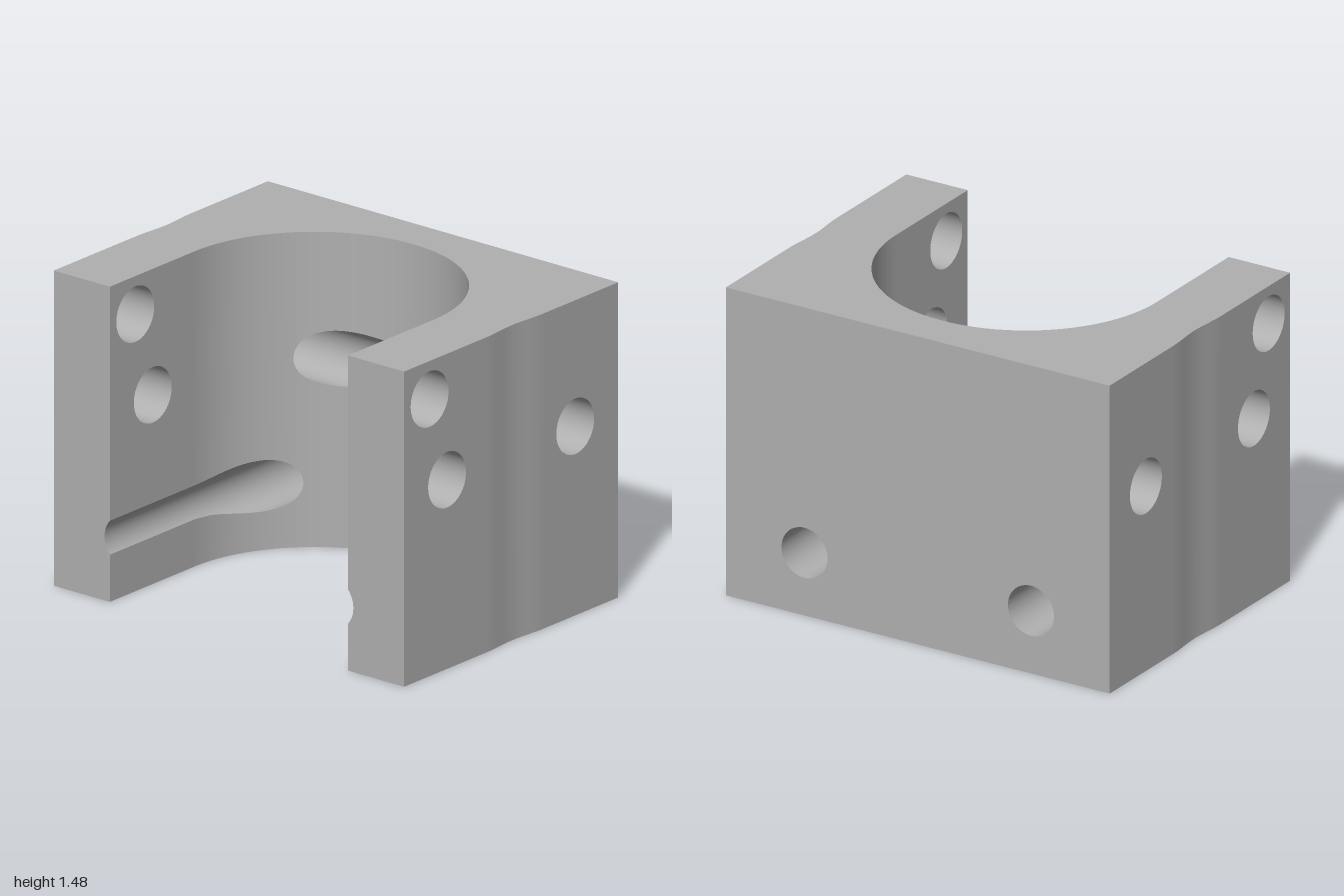
import * as THREE from 'three';
import { mergeGeometries } from 'three/addons/utils/BufferGeometryUtils.js';

const X = 0.735, H = 1.475, Z = 1;          // block half width, height, half depth
const R = 0.68, CX = -0.15;                 // U-shaped bore: radius and axis position
const BOLT = 0.13, PIN = 0.12;              // radii of cross holes and lengthwise holes
const PIN_Z = 0.59, PIN_Y = 0.3;
const bolts = [[-0.56, 1.297], [-0.44, 0.885], [0.44, 0.885]];
const DIP = [-0.17, 0.22];                  // shallow hollow in the outer sides
const N = 64;

const lin = (a, b, n) => Array.from({ length: n + 1 }, (_, i) => a + (b - a) * i / n);
const outerZ = x => Z - 0.006 * (1 - Math.cos(2 * Math.PI * (x - DIP[0]) / (DIP[1] - DIP[0])));
const root = v => Math.sqrt(Math.max(0, v));

function flip(g) {
  const a = g.index.array;
  for (let i = 0; i < a.length; i += 3) [a[i], a[i + 1]] = [a[i + 1], a[i]];
  return g;
}

// Surface spanned by two lists of parameters
function grid(us, vs, f) {
  const pos = [], idx = [], m = vs.length;
  us.forEach((u, i) => vs.forEach((v, j) => {
    pos.push(...f(u, v));
    if (i && j) {
      const d = i * m + j, c = d - 1, b = d - m, a = b - 1;
      idx.push(a, c, b, c, d, b);
    }
  }));
  const g = new THREE.BufferGeometry();
  g.setAttribute('position', new THREE.Float32BufferAttribute(pos, 3));
  g.setIndex(idx);
  return g;
}

// Flat face from a 2D outline with round holes, placed in space by a mapping
function face(points, holes, map) {
  const s = new THREE.Shape(points.map(p => new THREE.Vector2(...p)));
  for (const [x, y, r] of holes) s.holes.push(new THREE.Path().absarc(x, y, r, 0, Math.PI * 2, true));
  const g = new THREE.ShapeGeometry(s, N);
  const p = g.attributes.position;
  for (let i = 0; i < p.count; i++) p.setXYZ(i, ...map(p.getX(i), p.getY(i)));
  g.deleteAttribute('uv');
  g.deleteAttribute('normal');
  return g;
}
const rect = (a, b, c, d) => [[a, b], [c, b], [c, d], [a, d]];

export function createModel() {
  const group = new THREE.Group();
  const metal = new THREE.MeshStandardMaterial({ color: 0xb0b0b0, side: THREE.DoubleSide });
  metal.name = 'grey metal';

  // Adds a part made of front-half pieces together with their mirror images
  function add(name, ...pieces) {
    const all = pieces.flatMap(g => [g, flip(g.clone().scale(1, 1, -1))]);
    all.forEach(g => g.computeVertexNormals());
    const mesh = new THREE.Mesh(mergeGeometries(all), metal);
    mesh.name = name;
    group.add(mesh);
  }

  const leftHoles = bolts.slice(0, 2).map(b => [...b, BOLT]);
  const rightHoles = [[...bolts[2], BOLT]];

  // Outer sides: two flat panels with a shallow hollow between
  const onSide = (x, y) => [x, y, Z];
  add('outerSides',
    face(rect(-X, 0, DIP[0], H), leftHoles, onSide),
    face(rect(DIP[1], 0, X, H), rightHoles, onSide),
    grid(lin(...DIP, 24), [0, H], (x, y) => [x, y, outerZ(x)]));

  // Top and bottom
  const plan = [[-X, R],
    ...lin(Math.PI / 2, 0, 48).map(t => [CX + R * Math.cos(t), R * Math.sin(t)]),
    [X, 0], [X, Z], ...lin(DIP[1], DIP[0], 24).map(x => [x, outerZ(x)]), [-X, Z]];
  add('topFace', flip(face(plan, [], (x, z) => [x, H, z])));
  add('bottomFace', face(plan, [], (x, z) => [x, 0, z]));

  // Closed back plate with its lengthwise holes
  add('closedEnd', flip(face(rect(0, 0, Z, H), [[PIN_Z, PIN_Y, PIN]], (z, y) => [X, y, z])));

  // Open ends of the arms, notched by the grooves
  const a = Math.acos((R - PIN_Z) / PIN), gap = PIN * Math.sin(a);
  const notch = lin(a, -a, 20).map(t => [PIN_Z + PIN * Math.cos(t), PIN_Y + PIN * Math.sin(t)]);
  add('armEnds', face([[R, 0], [Z, 0], [Z, H], [R, H], ...notch], [], (z, y) => [-X, y, z]));

  // Straight inner walls, above and below the groove
  const onInner = (x, y) => [x, y, R];
  add('innerWalls',
    flip(face(rect(-X, 0, CX, PIN_Y - gap), [], onInner)),
    flip(face(rect(-X, PIN_Y + gap, CX, H), leftHoles, onInner)));

  // Curved inner wall: three bands running around the hole openings
  const end = CX + R, [bx, by] = bolts[2];
  const k = Math.acos((end - bx) / BOLT);
  const boltAngles = [...lin(-k, k, 24), ...lin(k, 2 * Math.PI - k, N)];
  const pinAngles = lin(a, 2 * Math.PI - a, N);
  const thetas = [...lin(0, Math.PI / 2, 48),
    ...lin(k, Math.PI, N / 2).map(t => Math.acos(Math.min(1, (bx + BOLT * Math.cos(t) - CX) / R))),
    ...lin(a, Math.PI, N / 2).map(t => Math.asin(Math.min(1, (PIN_Z + PIN * Math.cos(t)) / R)))
  ].sort((p, q) => p - q).filter((t, i, l) => !i || t - l[i - 1] > 1e-6);
  const pinH = t => root(PIN ** 2 - (R * Math.sin(t) - PIN_Z) ** 2);
  const boltH = t => root(BOLT ** 2 - (CX + R * Math.cos(t) - bx) ** 2);
  const band = (lo, hi) => flip(grid(thetas, [0, 1], (t, v) =>
    [CX + R * Math.cos(t), lo(t) * (1 - v) + hi(t) * v, R * Math.sin(t)]));
  add('curvedWall',
    flip(band(() => 0, t => PIN_Y - pinH(t))),
    flip(band(t => PIN_Y + pinH(t), t => by - boltH(t))),
    flip(band(t => by + boltH(t), () => H)));

  // Cross holes through both arms
  const boreZ = x => x < CX ? R : root(R * R - (x - CX) ** 2);
  bolts.forEach(([x, y], i) => add('crossHole' + (i + 1),
    grid(boltAngles, [0, 1], (t, v) => {
      const px = x + BOLT * Math.cos(t), z0 = boreZ(px);
      return [px, y + BOLT * Math.sin(t), z0 + (Z - z0) * v];
    })));
  group.children.filter(m => m.name.startsWith('crossHole')).forEach(m => {
    flip(m.geometry);
    m.geometry.computeVertexNormals();
  });

  // Lengthwise holes that run out into grooves along the arms
  const pin = (angles, start) => grid(angles, [0, 1], (t, v) => {
    const z = PIN_Z + PIN * Math.cos(t), x0 = start(z);
    return [x0 + (X - x0) * v, PIN_Y + PIN * Math.sin(t), z];
  });
  add('lengthwiseHoles', pin(pinAngles, z => CX + root(R * R - z * z)), pin(lin(-a, a, 24), () => -X));

  return group;
}
